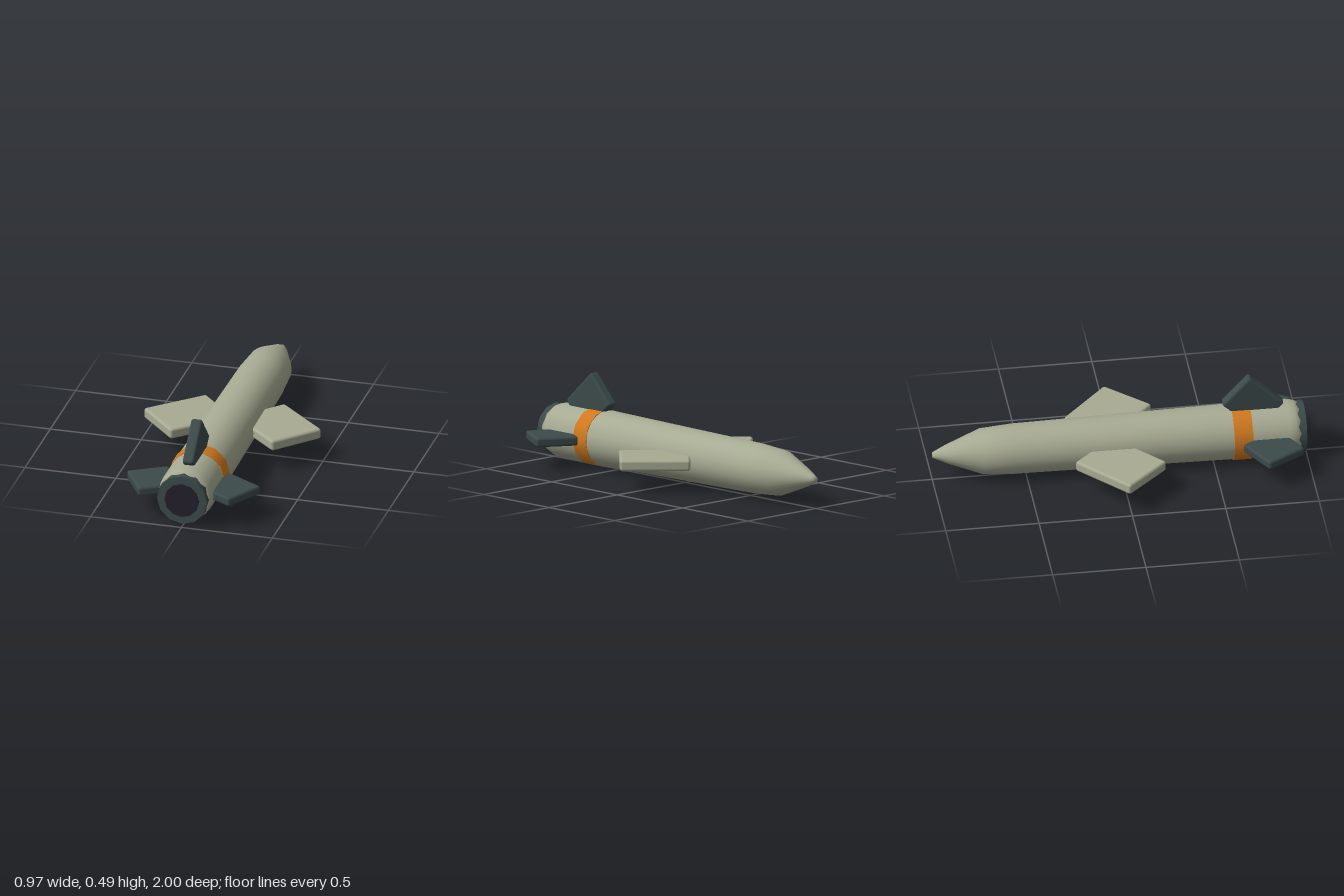
import * as THREE from 'three';
import { RoundedBoxGeometry } from 'three/addons/geometries/RoundedBoxGeometry.js';

const AXIS_Y = 0.157; // height of the body's centre line

function material(name, color) {
  const m = new THREE.MeshStandardMaterial({ color });
  m.name = name;
  return m;
}

export function createModel() {
  const model = new THREE.Group();
  model.name = 'missile';

  const beige = material('beige', 0xa8ab93);
  const orange = material('orange', 0xd17a1f);
  const slate = material('slate', 0x3c4a4a);
  const black = material('black', 0x231f2b);

  function add(name, geometry, mat, x, y, z) {
    const mesh = new THREE.Mesh(geometry, mat);
    mesh.name = name;
    mesh.position.set(x, y, z);
    model.add(mesh);
    return mesh;
  }

  // Twelve-sided disc or band along z, from z0 to z1
  function band(name, radius, z0, z1, mat) {
    const g = new THREE.CylinderGeometry(radius, radius, z1 - z0, 12);
    g.rotateX(Math.PI / 2);
    return add(name, g, mat, 0, AXIS_Y, (z0 + z1) / 2);
  }

  // Body with tapered nose, as [radius, z] from nose to tail
  const profile = [
    [0, -1], [0.014, -1], [0.022, -0.985], [0.05, -0.925], [0.122, -0.74],
    [0.134, -0.57], [0.141, 0], [0.149, 0.6], [0.149, 0.9], [0.142, 0.935],
    [0.13, 0.97], [0, 0.97],
  ].map(([r, z]) => new THREE.Vector2(r, z));
  const body = new THREE.LatheGeometry(profile, 24);
  body.rotateX(Math.PI / 2);
  add('body', body, beige, 0, AXIS_Y, 0);

  // Painted band and engine
  band('stripeBand', 0.155, 0.6, 0.7, orange);
  band('engineCollar', 0.138, 0.9, 0.99, slate);
  band('engineNozzle', 0.094, 0.97, 1, black);

  // Mirrored wings and tail fins: slabs turned about y
  for (const [side, s] of [['left', 1], ['right', -1]]) {
    const wing = new RoundedBoxGeometry(0.375, 0.06, 0.31, 2, 0.015);
    add(side + 'Wing', wing, beige, s * 0.2475, AXIS_Y, -0.025).rotation.y = -s * 0.75;

    const fin = new RoundedBoxGeometry(0.23, 0.052, 0.238, 2, 0.015);
    add(side + 'TailFin', fin, slate, s * 0.21, AXIS_Y, 0.8).rotation.y = -s * 0.53;
  }

  // Upright fin: slab turned about x
  const upright = new RoundedBoxGeometry(0.062, 0.216, 0.258, 2, 0.015);
  add('topFin', upright, slate, 0, 0.335, 0.715).rotation.x = 0.745;

  return model;
}
